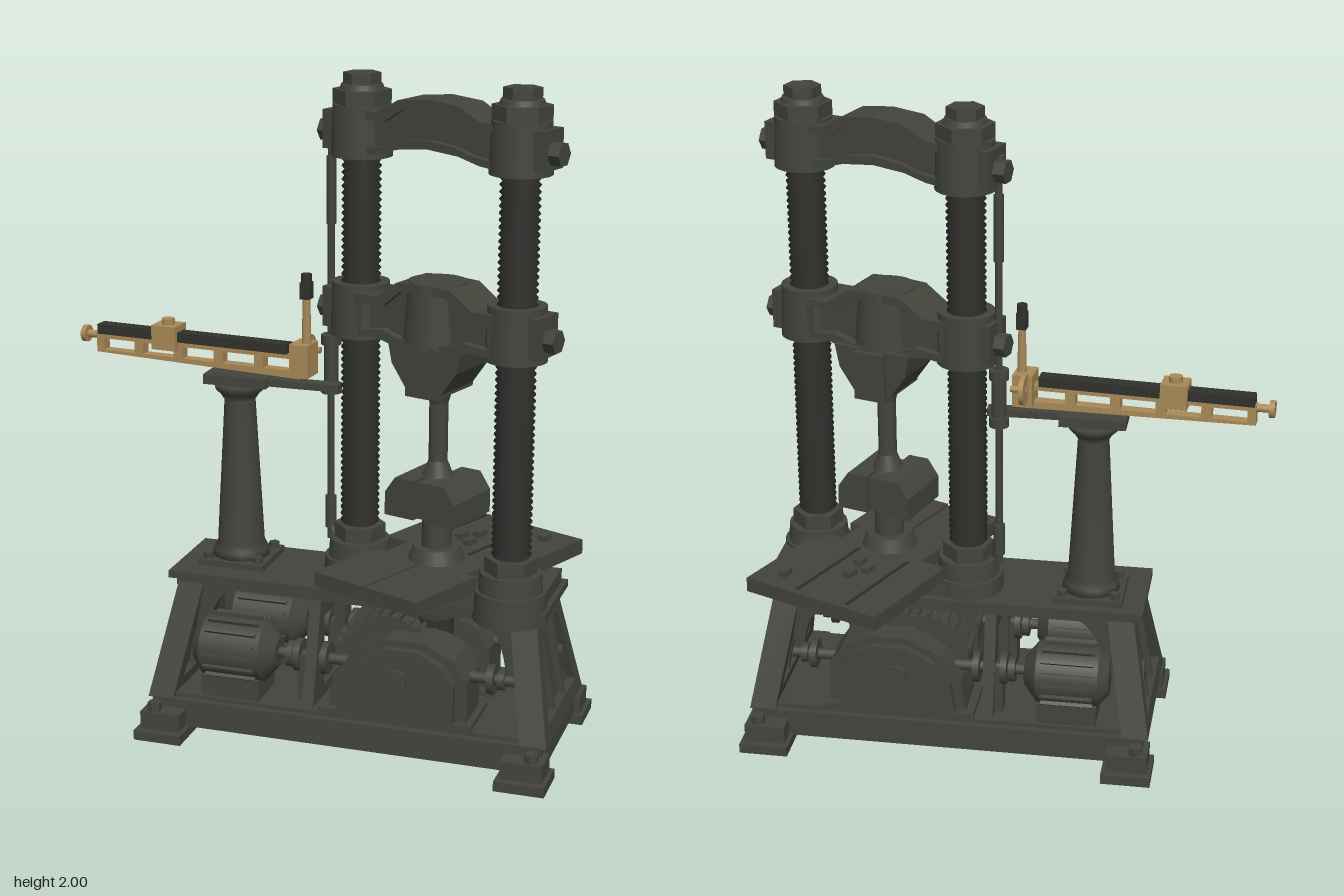
import * as THREE from 'three';

const iron = new THREE.MeshStandardMaterial({ color: 0x42443c });
iron.name = 'dark iron';
const thread = new THREE.MeshStandardMaterial({ color: 0x30312d });
thread.name = 'threaded steel';
const brass = new THREE.MeshStandardMaterial({ color: 0xa98957 });
brass.name = 'brass';

function add(parent, name, geo, mat, x = 0, y = 0, z = 0) {
  const m = new THREE.Mesh(geo, mat);
  m.name = name;
  m.position.set(x, y, z);
  parent.add(m);
  return m;
}
const box = (p, name, mat, w, h, d, x, y, z) => add(p, name, new THREE.BoxGeometry(w, h, d), mat, x, y, z);
function cyl(p, name, mat, rTop, rBot, h, x, y, z, axis = 'y', seg = 24) {
  const g = new THREE.CylinderGeometry(rTop, rBot, h, seg);
  if (axis === 'x') g.rotateZ(-Math.PI / 2);
  if (axis === 'z') g.rotateX(Math.PI / 2);
  return add(p, name, seg < 12 ? g.toNonIndexed() : g, mat, x, y, z);
}
function hex(p, name, mat, r, h, x, y, z, axis) {
  const m = cyl(p, name, mat, r, r, h, x, y, z, axis, 6);
  m.geometry.computeVertexNormals();
  return m;
}
// Extruded outline, centred on its depth, with optional holes
function plate(pts, depth, holes = []) {
  const v = a => a.map(([x, y]) => new THREE.Vector2(x, y));
  const s = new THREE.Shape(v(pts));
  holes.forEach(h => s.holes.push(new THREE.Path(v(h))));
  return new THREE.ExtrudeGeometry(s, { depth, bevelEnabled: false }).translate(0, 0, -depth / 2);
}
const rect = (x0, x1, y0, y1) => [[x0, y0], [x1, y0], [x1, y1], [x0, y1]];
function group(parent, name, x, y, z, ry) {
  const g = new THREE.Group();
  g.name = name;
  g.position.set(x, y, z);
  g.rotation.y = ry;
  parent.add(g);
  return g;
}

// Cast base with feet, sloped end frames and bed
function buildBase(root) {
  const b = group(root, 'base', 0.147, 0, 0.01, -0.03);
  box(b, 'baseSlab', iron, 1.21, 0.085, 0.5, 0, 0.07, 0);
  box(b, 'baseStep', iron, 1.16, 0.02, 0.46, 0, 0.115, 0);
  for (const sx of [-1, 1]) {
    for (const sz of [-1, 1]) {
      box(b, 'footPad', iron, 0.15, 0.03, 0.14, sx * 0.56, 0.015, sz * 0.265);
      box(b, 'footBoss', iron, 0.125, 0.06, 0.1, sx * 0.56, 0.055, sz * 0.26);
      hex(b, 'footBolt', iron, 0.022, 0.03, sx * 0.585, 0.095, sz * 0.285);
    }
    // Trapezoid end frame: open rim, recessed panel and ribs, leaning inward
    const lean = g => {
      g.rotateY(Math.PI / 2);
      const p = g.attributes.position;
      for (let i = 0; i < p.count; i++) p.setX(i, p.getX(i) + sx * (0.44 - p.getY(i)) * 0.18);
      g.computeVertexNormals();
      return g;
    };
    const outer = [[-0.25, 0.11], [0.25, 0.11], [0.14, 0.45], [-0.14, 0.45]];
    const inner = [[-0.18, 0.16], [0.18, 0.16], [0.1, 0.41], [-0.1, 0.41]];
    add(b, 'endFrame', lean(plate(outer, 0.08, [inner])), iron, sx * 0.52);
    add(b, 'endPanel', lean(plate(inner, 0.03)), iron, sx * 0.52);
    for (const z of [-0.065, 0.065]) add(b, 'endRib', lean(plate(rect(z - 0.01, z + 0.01, 0.16, 0.41), 0.065)), iron, sx * 0.52);
    box(b, 'endLatch', iron, 0.03, 0.07, 0.035, sx * 0.575, 0.26, -0.09).rotation.x = 0.3;
    // Curved gussets under the bed ends
    for (const z of [-0.12, 0.12]) {
      const s = new THREE.Shape();
      s.moveTo(0, 0.45); s.lineTo(sx * -0.13, 0.45);
      s.quadraticCurveTo(sx * -0.04, 0.42, sx * -0.03, 0.26); s.lineTo(0, 0.26);
      add(b, 'gusset', new THREE.ExtrudeGeometry(s, { depth: 0.03, bevelEnabled: false }), iron, sx * 0.5, 0, z - 0.015);
    }
  }
  const web = [[-0.22, 0.11], [0.22, 0.11], [0.13, 0.45], [-0.13, 0.45]];
  add(b, 'middleWeb', plate(web, 0.035, [rect(-0.1, 0.1, 0.16, 0.38)]).rotateY(Math.PI / 2), iron, -0.12);
  box(b, 'bed', iron, 1.13, 0.03, 0.27, 0, 0.455, 0);
  box(b, 'bedLip', iron, 1.17, 0.022, 0.31, 0, 0.477, 0);
  box(b, 'raisedBed', iron, 0.66, 0.05, 0.28, 0.24, 0.505, 0.01);
  return b;
}

// Motor, coupling and gearbox on each side of the base
function buildDrive(b) {
  for (const s of [-1, 1]) {
    const d = group(b, 'driveTrain', 0, 0, s * 0.145, 0);
    const y = 0.265;
    cyl(d, 'motorBody', iron, 0.095, 0.095, 0.19, -0.365, y, 0, 'x', 28);
    for (let i = 0; i < 16; i++) {
      const a = i * Math.PI / 8;
      box(d, 'motorFin', iron, 0.16, 0.016, 0.01, -0.365, y + Math.sin(a) * 0.098, Math.cos(a) * 0.098).rotation.x = -a + Math.PI / 2;
    }
    cyl(d, 'motorNose', iron, 0.045, 0.095, 0.04, -0.25, y, 0, 'x');
    cyl(d, 'motorTail', iron, 0.09, 0.06, 0.03, -0.475, y, 0, 'x');
    box(d, 'motorFoot', iron, 0.18, 0.08, 0.15, -0.365, 0.15, 0);
    cyl(d, 'driveShaft', iron, 0.017, 0.017, 0.82, 0.09, y, 0, 'x', 14);
    for (const [x, r] of [[-0.19, 0.04], [-0.165, 0.05], [-0.12, 0.032], [-0.08, 0.05], [0.43, 0.045], [0.46, 0.03]])
      cyl(d, 'coupling', iron, r, r, 0.02, x, y, 0, 'x', 18);
    box(d, 'bearingBlock', iron, 0.045, 0.17, 0.06, -0.14, 0.19, 0);
    const housing = [[-0.06, 0.11], [0.37, 0.11], [0.37, 0.27], [0.33, 0.33], [0.24, 0.375], [0.12, 0.375], [0.02, 0.32], [-0.04, 0.24]];
    add(d, 'gearHousing', plate(housing, 0.15), iron, 0, 0, s * -0.01);
    add(d, 'housingCover', plate(housing.map(([x, v]) => [0.155 + (x - 0.155) * 0.84, 0.24 + (v - 0.24) * 0.84]), 0.03), iron, 0, 0, s * 0.075);
    cyl(d, 'housingHub', iron, 0.035, 0.035, 0.04, 0.16, 0.26, s * 0.085, 'z');
    box(d, 'housingFlange', iron, 0.47, 0.025, 0.2, 0.155, 0.13, s * -0.01);
    // Ribbed worm wheel cover behind the housing
    cyl(d, 'wheelCover', iron, 0.15, 0.15, 0.09, 0.1, 0.265, s * -0.06, 'z', 32);
    for (let i = 0; i < 13; i++) {
      const a = 0.2 + i * 0.22;
      box(d, 'wheelRib', iron, 0.03, 0.012, 0.1, 0.1 + Math.cos(a) * 0.15, 0.265 + Math.sin(a) * 0.15, s * -0.06).rotation.z = a;
    }
  }
}

// Beam joining the two columns: thin web with a raised rim and round bosses
function crosshead(root, name, y, profile, bossBottom, bossTop, depth) {
  const c = group(root, name, 0.363, y, 0.053, -0.325);
  const full = [...profile, ...profile.slice().reverse().filter(p => p[0] !== 0).map(([x, v, w]) => [-x, v, w])];
  const outline = full.map(p => [p[0], p[1]]).concat(full.slice().reverse().map(p => [p[0], p[2]]));
  const inset = full.map(p => [p[0] * 0.86, p[1] + 0.025]).concat(full.slice().reverse().map(p => [p[0] * 0.86, p[2] - 0.025]));
  add(c, 'beamWeb', plate(outline, depth * 0.68), iron);
  add(c, 'beamRim', plate(outline, depth, [inset]), iron);
  for (const s of [-1, 1]) {
    const h = bossTop - bossBottom, mid = (bossTop + bossBottom) / 2;
    cyl(c, 'columnBoss', iron, 0.085, 0.09, h, s * 0.265, mid, 0, 'y', 28);
    box(c, 'clampLug', iron, 0.06, h * 0.75, 0.11, s * 0.335, mid, 0);
    hex(c, 'clampNut', iron, 0.035, 0.04, s * 0.38, mid - 0.01, 0, 'x');
  }
  return c;
}

function buildPress(root) {
  // Column threads as one turned saw-tooth profile
  const prof = [new THREE.Vector2(0.001, 0.5)];
  for (let i = 0; i < 72; i++) prof.push(new THREE.Vector2(0.05, 0.5 + i * 0.02), new THREE.Vector2(0.059, 0.51 + i * 0.02));
  const screw = new THREE.LatheGeometry(prof, 20);
  const cols = group(root, 'columns', 0.363, 0, 0.053, -0.325);
  for (const s of [-1, 1]) {
    const x = s * 0.265;
    add(cols, 'threadedColumn', screw, thread, x);
    cyl(cols, 'columnFlange', iron, 0.105, 0.11, 0.09, x, 0.495, 0);
    cyl(cols, 'columnCollar', iron, 0.09, 0.095, 0.06, x, 0.565, 0);
    hex(cols, 'columnNut', iron, 0.078, 0.05, x, 0.615, 0);
    hex(cols, 'topNut', iron, 0.085, 0.045, x, 1.93, 0);
    cyl(cols, 'topWasher', iron, 0.06, 0.065, 0.015, x, 1.96, 0);
    hex(cols, 'topCap', iron, 0.055, 0.035, x, 1.982, 0);
  }
  crosshead(root, 'topCrosshead', 1.8, [[-0.25, -0.03, 0.1], [-0.17, -0.02, 0.1], [-0.1, 0.0, 0.14], [0, 0.01, 0.15]], -0.04, 0.11, 0.13);
  const m = crosshead(root, 'middleCrosshead', 1.3, [[-0.25, -0.06, 0.07], [-0.16, -0.05, 0.07], [-0.09, -0.07, 0.12], [0, -0.07, 0.125]], -0.07, 0.09, 0.16);
  cyl(m, 'centreHub', iron, 0.085, 0.1, 0.19, 0, 0.03, 0);

  // Upper and lower grips with the test bar between them
  const g = group(root, 'grips', 0.37, 0, 0.045, -0.325);
  const upper = [[-0.125, 1.25], [-0.11, 1.18], [-0.06, 1.11], [0.06, 1.11], [0.11, 1.18], [0.125, 1.25]];
  add(g, 'upperGrip', plate(upper, 0.17), iron);
  box(g, 'upperJaw', iron, 0.1, 0.15, 0.21, 0, 1.17, 0);
  cyl(g, 'testBar', iron, 0.028, 0.028, 0.26, 0, 0.97, 0);
  cyl(g, 'barUpperEnd', iron, 0.045, 0.028, 0.06, 0, 1.09, 0);
  cyl(g, 'barLowerEnd', iron, 0.028, 0.048, 0.05, 0, 0.86, 0);
  for (const s of [-1, 1])
    add(g, 'lowerGrip', plate([[s * 0.02, 0.72], [s * 0.12, 0.72], [s * 0.12, 0.79], [s * 0.085, 0.84], [s * 0.02, 0.84]], 0.2), iron);
  box(g, 'lowerJaw', iron, 0.06, 0.11, 0.16, 0, 0.775, 0);
  cyl(g, 'gripStem', iron, 0.045, 0.045, 0.14, 0, 0.65, 0);
  cyl(g, 'stemFlange', iron, 0.07, 0.085, 0.04, 0, 0.6, 0);
  cyl(g, 'liftScrew', thread, 0.055, 0.055, 0.2, 0, 0.44, 0);
  cyl(g, 'screwCollar', iron, 0.08, 0.07, 0.05, 0, 0.43, 0);

  // Turned work table: wide rear half, two narrower front leaves
  const t = group(root, 'table', 0.385, 0, 0.005, -0.43);
  box(t, 'rearLeaf', iron, 0.47, 0.045, 0.37, 0, 0.555, -0.195);
  box(t, 'tableCentre', iron, 0.3, 0.045, 0.14, 0, 0.555, 0.04);
  for (const [x, w] of [[-0.1, 0.185], [0.095, 0.185]]) box(t, 'frontLeaf', iron, w, 0.045, 0.28, x, 0.555, 0.23);
  box(t, 'tableBeam', iron, 0.22, 0.05, 0.5, 0, 0.51, -0.02);
  for (const x of [-0.12, 0.06]) box(t, 'rearSlot', thread, 0.008, 0.006, 0.32, x, 0.579, -0.2);
  for (const [x, z] of [[-0.02, -0.2], [0.0, -0.12], [-0.05, -0.15], [0.15, -0.3]]) box(t, 'tableStop', iron, 0.025, 0.02, 0.04, x, 0.585, z);
}

// Tapered pedestal carrying the balance beam
function buildBalance(root) {
  const p = group(root, 'pedestal', -0.265, 0, -0.025, -0.03);
  box(p, 'pedestalPlate', iron, 0.21, 0.02, 0.2, 0, 0.497, 0);
  for (const x of [-0.08, 0.08]) for (const z of [-0.075, 0.075]) hex(p, 'plateBolt', iron, 0.016, 0.02, x, 0.515, z);
  const outline = [[0.001, 0.5], [0.09, 0.5], [0.083, 0.53], [0.072, 0.55], [0.047, 1.0], [0.06, 1.02], [0.075, 1.035], [0.075, 1.05], [0.001, 1.05]];
  add(p, 'pedestalPost', new THREE.LatheGeometry(outline.map(([x, y]) => new THREE.Vector2(x, y)), 20), iron);
  box(p, 'pedestalCap', iron, 0.2, 0.03, 0.1, 0, 1.065, 0);
  box(p, 'bracketArm', iron, 0.24, 0.022, 0.04, 0.2, 1.065, 0.01);

  const b = group(root, 'balanceBeam', -0.39, 1.13, -0.045, -0.12);
  const slots = [];
  for (let i = 0; i < 5; i++) slots.push(rect(-0.33 + i * 0.135, -0.225 + i * 0.135, -0.022, 0.014));
  add(b, 'beamFrame', plate([[-0.355, -0.03], [0.33, -0.045], [0.36, 0.03], [-0.355, 0.03]], 0.035, slots), brass);
  box(b, 'scaleBar', thread, 0.64, 0.03, 0.045, -0.03, 0.043, 0);
  cyl(b, 'endScrew', brass, 0.012, 0.012, 0.05, -0.375, 0.02, 0, 'x', 12);
  cyl(b, 'endKnob', brass, 0.026, 0.026, 0.016, -0.4, 0.02, 0, 'x', 18);
  box(b, 'slidingWeight', brass, 0.08, 0.075, 0.075, -0.115, 0.04, 0);
  cyl(b, 'weightKnob', brass, 0.02, 0.02, 0.02, -0.115, 0.085, 0);
  box(b, 'pivotBlock', brass, 0.06, 0.1, 0.08, 0.335, 0.015, 0);
  cyl(b, 'pointerPost', brass, 0.011, 0.015, 0.17, 0.345, 0.13, 0, 'y', 12);
  cyl(b, 'adjusterWheel', brass, 0.045, 0.045, 0.014, 0.325, 0.03, -0.06, 'x', 24);
  cyl(b, 'adjusterAxle', brass, 0.01, 0.01, 0.05, 0.34, 0.03, -0.06, 'x', 12);
  box(b, 'pointerHead', thread, 0.03, 0.05, 0.035, 0.345, 0.225, 0);
  cyl(b, 'pointerTip', thread, 0.016, 0.016, 0.03, 0.345, 0.26, 0, 'y', 12);

  // Long control rod beside the left column
  const r = group(root, 'controlRod', 0.015, 0, -0.05, 0);
  cyl(r, 'rod', iron, 0.011, 0.011, 1.29, 0, 1.22, 0, 'y', 12);
  for (const [y, h, w] of [[0.66, 0.1, 0.017], [1.12, 0.16, 0.022], [1.2, 0.03, 0.03], [1.05, 0.03, 0.03], [1.65, 0.2, 0.015], [1.84, 0.05, 0.02]])
    cyl(r, 'rodSleeve', iron, w, w, h, 0, y, 0, 'y', 14);
  const lever = new THREE.CatmullRomCurve3([[0, 0.62, 0], [0.03, 0.56, 0.03], [0.04, 0.5, 0.05]].map(a => new THREE.Vector3(...a)));
  add(r, 'rodLever', new THREE.TubeGeometry(lever, 12, 0.012, 8), iron);
}

export function createModel() {
  const root = new THREE.Group();
  root.name = 'testingMachine';
  buildDrive(buildBase(root));
  buildPress(root);
  buildBalance(root);
  return root;
}
